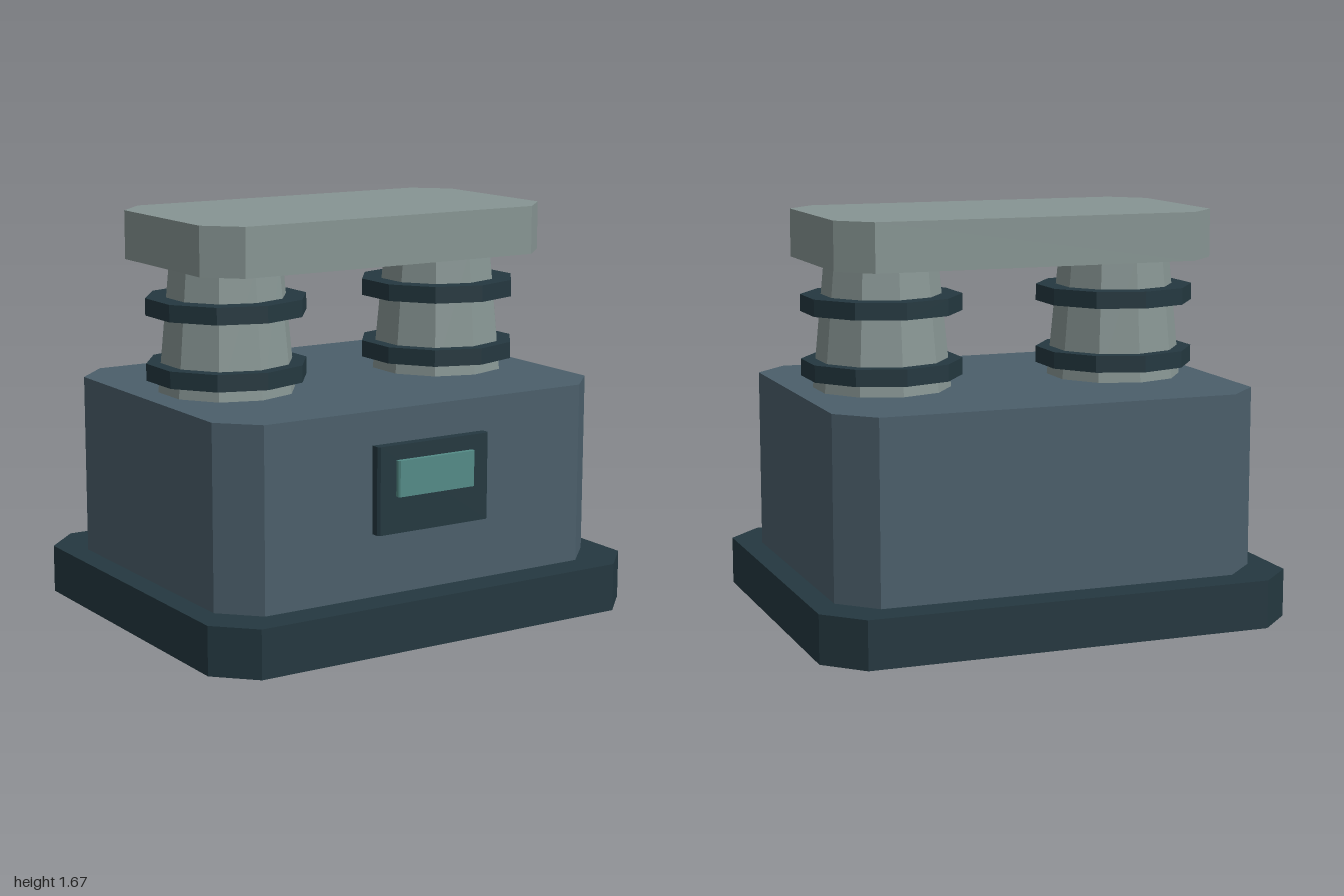
import * as THREE from 'three';

function material(name, color) {
  const m = new THREE.MeshStandardMaterial({ color, flatShading: true });
  m.name = name;
  return m;
}

export function createModel() {
  const model = new THREE.Group();
  model.name = 'twinColumnMachine';

  const dark = material('darkTeal', 0x243840);
  const slate = material('slateBlue', 0x4b5f6b);
  const grey = material('paleGrey', 0x879593);
  const glass = material('screenTeal', 0x548b87);

  // Block with chamfered vertical edges, standing on y0
  function block(name, mat, halfX, halfZ, chamfer, y0, y1, z = 0) {
    const a = halfX - chamfer, b = halfZ - chamfer;
    const outline = [
      [a, -halfZ], [halfX, -b], [halfX, b], [a, halfZ],
      [-a, halfZ], [-halfX, b], [-halfX, -b], [-a, -halfZ],
    ].map(([x, y]) => new THREE.Vector2(x, y));
    const geometry = new THREE.ExtrudeGeometry(new THREE.Shape(outline), {
      depth: y1 - y0, bevelEnabled: false,
    });
    geometry.rotateX(-Math.PI / 2);
    const mesh = new THREE.Mesh(geometry, mat);
    mesh.name = name;
    mesh.position.set(0, y0, z);
    model.add(mesh);
  }

  // Ten-sided post or collar
  function drum(name, mat, rTop, rBottom, y0, y1, x) {
    const mesh = new THREE.Mesh(new THREE.CylinderGeometry(rTop, rBottom, y1 - y0, 10), mat);
    mesh.name = name;
    mesh.position.set(x, (y0 + y1) / 2, 0);
    model.add(mesh);
  }

  // Stacked body
  block('base', dark, 1, 0.83, 0.15, 0, 0.2);
  block('body', slate, 0.9, 0.695, 0.145, 0.2, 0.95);
  block('topPlate', grey, 0.815, 0.445, 0.13, 1.47, 1.67);

  // Front control panel with its screen
  block('controlPanel', dark, 0.265, 0.035, 0.01, 0.457, 0.813, 0.703);
  block('screen', glass, 0.182, 0.015, 0.006, 0.607, 0.753, 0.745);

  // Tapered columns with two collars each
  for (const [side, x] of [['left', 0.52], ['right', -0.52]]) {
    drum(side + 'Column', grey, 0.235, 0.285, 0.95, 1.47, x);
    drum(side + 'LowerCollar', dark, 0.333, 0.333, 1.0, 1.07, x);
    drum(side + 'UpperCollar', dark, 0.333, 0.333, 1.267, 1.337, x);
  }

  return model;
}
